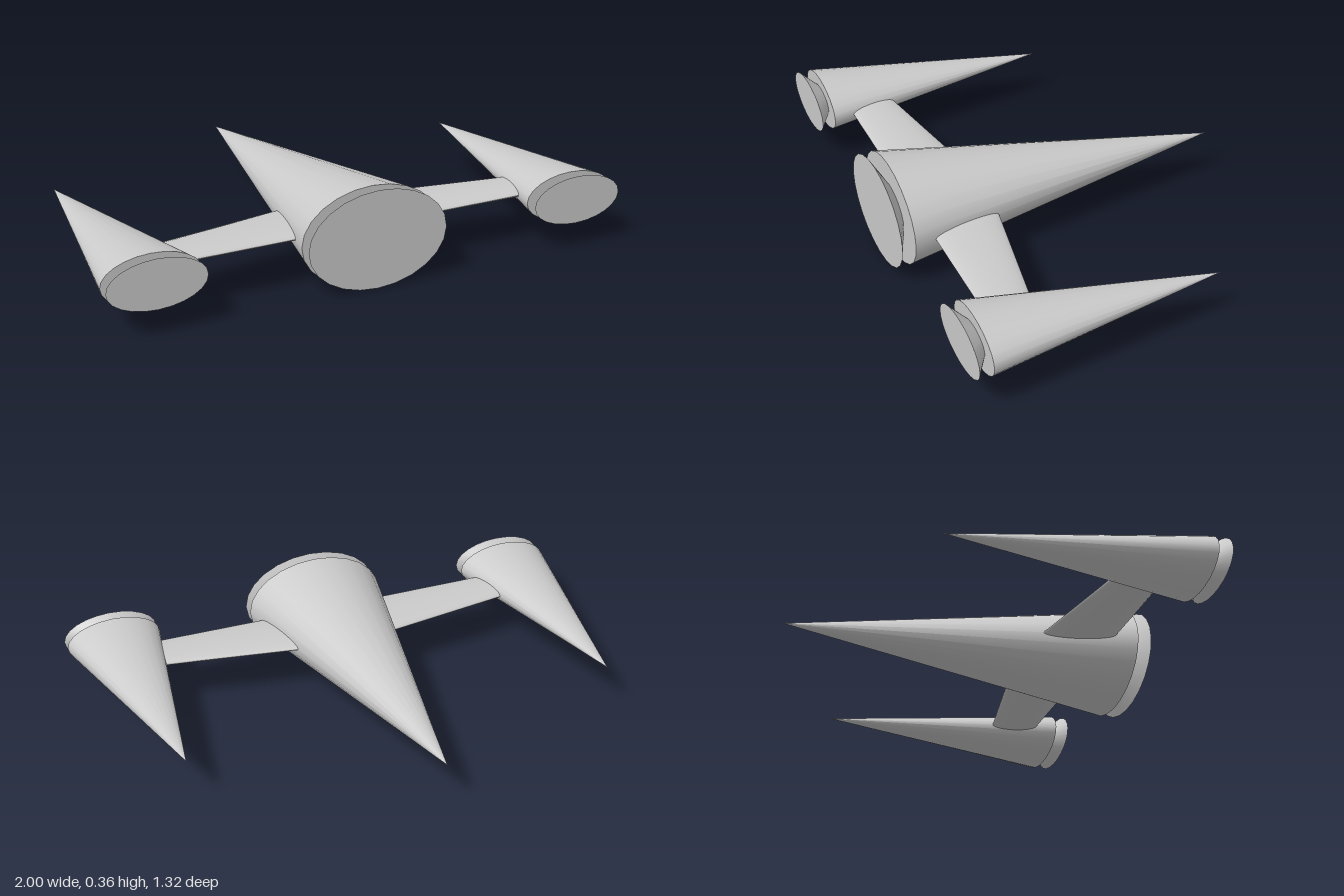
import * as THREE from 'three';

const MID_Y = 0.184;
const material = new THREE.MeshStandardMaterial({ color: 0xcccccc });

// Elliptical cone with its tip toward -z and its base at baseZ
function cone(name, rx, ry, tipZ, baseZ, x) {
  const geometry = new THREE.ConeGeometry(1, baseZ - tipZ, 24);
  geometry.rotateX(-Math.PI / 2);
  geometry.scale(rx, ry, 1);
  geometry.translate(x, MID_Y, (tipZ + baseZ) / 2);
  const mesh = new THREE.Mesh(geometry, material);
  mesh.name = name;
  return mesh;
}

// Pointed body with a flared nozzle disc at its wide end
function rocketBody(name, rx, ry, tipZ, x) {
  const group = new THREE.Group();
  group.name = name;
  group.add(cone(name + 'Hull', rx, ry, tipZ, 0.61, x));
  group.add(cone(name + 'Nozzle', rx, ry, 0.552, 0.66, x));
  return group;
}

// Thin rounded wing: straight trailing edge, leading edge swept toward the tip
function wing(name, side) {
  const span = 0.82, trailing = 0.53;
  const geometry = new THREE.CylinderGeometry(1, 1, span, 32);
  geometry.rotateZ(-side * Math.PI / 2);
  geometry.translate(side * span / 2, 0, 0);
  const p = geometry.attributes.position;
  for (let i = 0; i < p.count; i++) {
    const leading = 0.235 + 0.173 * Math.abs(p.getX(i));
    const half = (trailing - leading) / 2;
    p.setY(i, MID_Y + p.getY(i) * 0.019);
    p.setZ(i, trailing - half + p.getZ(i) * half);
  }
  geometry.computeVertexNormals();
  const mesh = new THREE.Mesh(geometry, material);
  mesh.name = name;
  return mesh;
}

export function createModel() {
  const model = new THREE.Group();
  model.name = 'spaceship';
  model.add(rocketBody('fuselage', 0.27, 0.181, -0.66, 0));
  for (const [label, side] of [['left', 1], ['right', -1]]) {
    model.add(rocketBody(label + 'Pod', 0.181, 0.09, -0.295, side * 0.819));
    model.add(wing(label + 'Wing', side));
  }
  return model;
}
